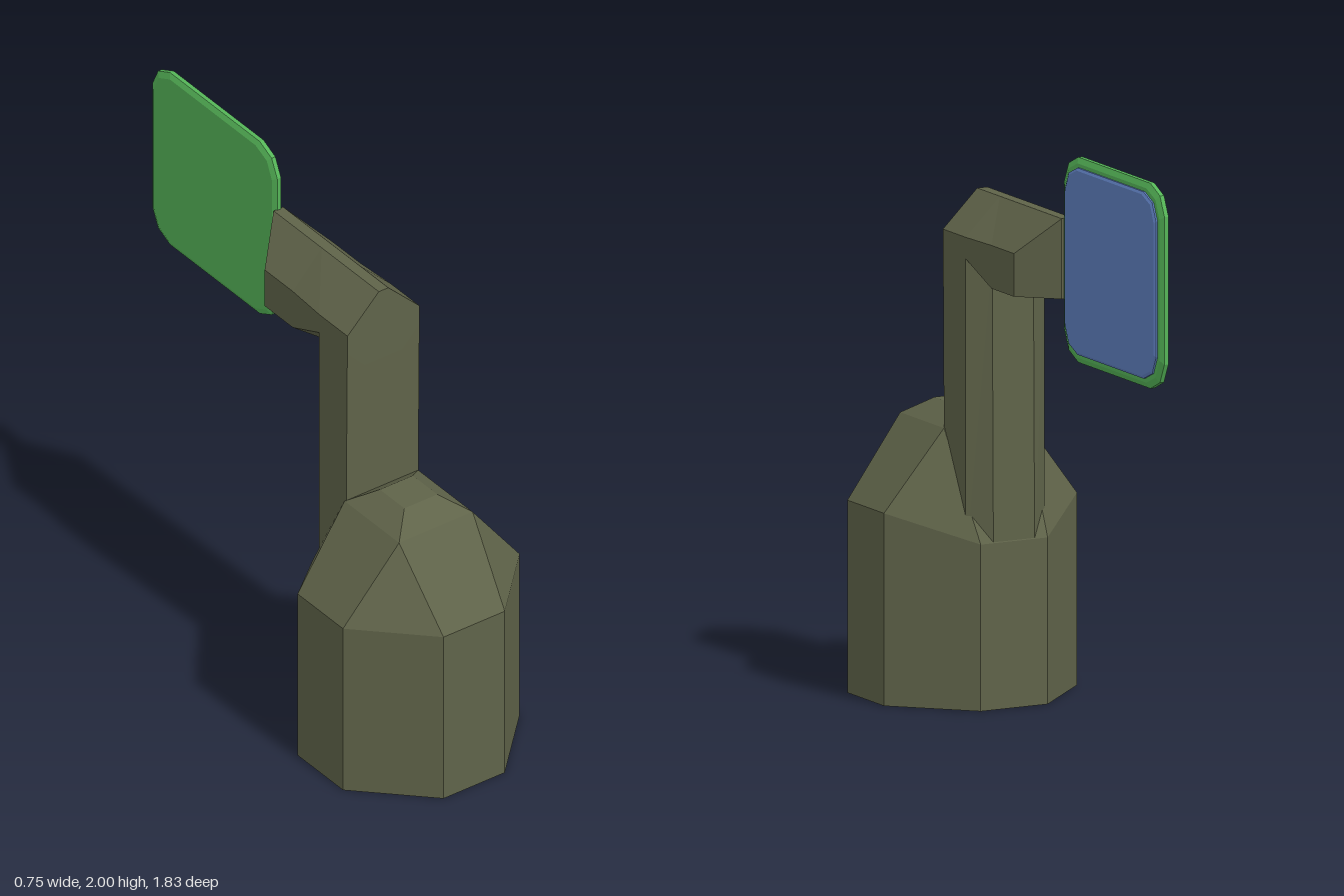
import * as THREE from 'three';

const olive = new THREE.MeshStandardMaterial({ color: 0x5f6349, flatShading: true });
const green = new THREE.MeshStandardMaterial({ color: 0x55b558, flatShading: true });
const blue = new THREE.MeshStandardMaterial({ color: 0x5f7fc0, flatShading: true });

// Joins rings of [x, y, z] points (counter-clockwise seen from the last ring) and caps both ends.
function loft(name, rings, material) {
  const pos = [];
  const tri = (a, b, c) => {
    const [A, B, C] = [a, b, c].map((p) => new THREE.Vector3(...p));
    const area = B.clone().sub(A).cross(C.clone().sub(A)).length();
    if (area > 1e-7) pos.push(...a, ...b, ...c);
  };
  const n = rings[0].length;
  for (let i = 0; i + 1 < rings.length; i++) {
    for (let j = 0; j < n; j++) {
      const k = (j + 1) % n, lo = rings[i], hi = rings[i + 1];
      tri(lo[j], lo[k], hi[k]);
      tri(lo[j], hi[k], hi[j]);
    }
  }
  const first = rings[0], last = rings[rings.length - 1];
  for (let j = 1; j + 1 < n; j++) {
    tri(first[0], first[j + 1], first[j]);
    tri(last[0], last[j], last[j + 1]);
  }
  const geo = new THREE.BufferGeometry();
  geo.setAttribute('position', new THREE.Float32BufferAttribute(pos, 3));
  geo.computeVertexNormals();
  const mesh = new THREE.Mesh(geo, material);
  mesh.name = name;
  return mesh;
}

// Rounded-square outline in the y-z plane, centred on the panel.
function panelRing(x, half, cut, mid) {
  const quarter = [[half, half - cut], [half - mid, half - mid], [half - cut, half]];
  const ring = [];
  for (let q = 0; q < 4; q++) {
    for (const [a, b] of quarter) {
      const [y, z] = [[a, b], [-b, a], [-a, -b], [b, -a]][q];
      ring.push([x, 1.643 + y, -0.557 + z]);
    }
  }
  return ring;
}

export function createModel() {
  const group = new THREE.Group();

  // Eight-sided body; the shoulders close to a square, then a small flat top
  const octagon = [[0.375, 0.41], [0.13, 0.17], [-0.13, 0.17], [-0.375, 0.41],
    [-0.375, 0.67], [-0.13, 0.915], [0.13, 0.915], [0.375, 0.67]];
  const square = (y, h) => [[1, -1], [-1, -1], [-1, 1], [1, 1]]
    .flatMap(([sx, sz]) => [0, 1].map(() => [sx * h, y, 0.54 + sz * h]));
  group.add(loft('body', [
    octagon.map(([x, z]) => [x, 0, z]),
    octagon.map(([x, z]) => [x, z < 0.2 ? 0.58 : 0.67, z]), // back edge dips under the post
    square(0.95, 0.156),
    square(1.01, 0.07),
  ], olive));

  // Upright post with a chamfered back
  const postRing = (y, front, back) => [[0.153, front], [0.153, 0.235], [0.08, back],
    [-0.08, back], [-0.153, 0.235], [-0.153, front]].map(([x, z]) => [x, y, z]);
  group.add(loft('post', [postRing(0.5, 0.385, 0.171), postRing(1.565, 0.396, 0.18)], olive));

  // Overhanging arm: roofed section, blended into the post, tapering to a thin end
  const armRing = ([z, w, low, bottom, ridgeY, shoulderY]) => {
    const half = [[bottom, 1.49], [w, low], [w, shoulderY], [0.02, ridgeY]];
    const other = half.map(([x, y]) => [-x, y]).reverse();
    return [...half, ...other].map(([x, y]) => [x, y, z]);
  };
  const arm = [
    [-0.09, 0.143, 1.49, 0.143, 1.77, 1.64],
    [0.07, 0.143, 1.49, 0.143, 1.77, 1.64],
    [0.235, 0.153, 1.565, 0.08, 1.77, 1.64],
    [0.397, 0.153, 1.565, 0.08, 1.77, 1.64],
  ].map(armRing);
  // The tapered end keeps the ridge running right up to the panel
  const tip = armRing([-0.205, 0.02, 1.49, 0.02, 1.77, 1.77]);
  group.add(loft('arm', [tip, ...arm], olive));

  // Flat panel backing with bevelled rim
  group.add(loft('panelFrame', [
    panelRing(-0.017, 0.338, 0.093, 0.029),
    panelRing(-0.008, 0.357, 0.1, 0.032),
    panelRing(0.008, 0.357, 0.1, 0.032),
    panelRing(0.017, 0.338, 0.093, 0.029),
  ], green));

  // Raised face on the panel's left side
  group.add(loft('panelFace', [
    panelRing(0, 0.325, 0.09, 0.028),
    panelRing(0.023, 0.325, 0.09, 0.028),
    panelRing(0.028, 0.316, 0.086, 0.026),
  ], blue));

  return group;
}
